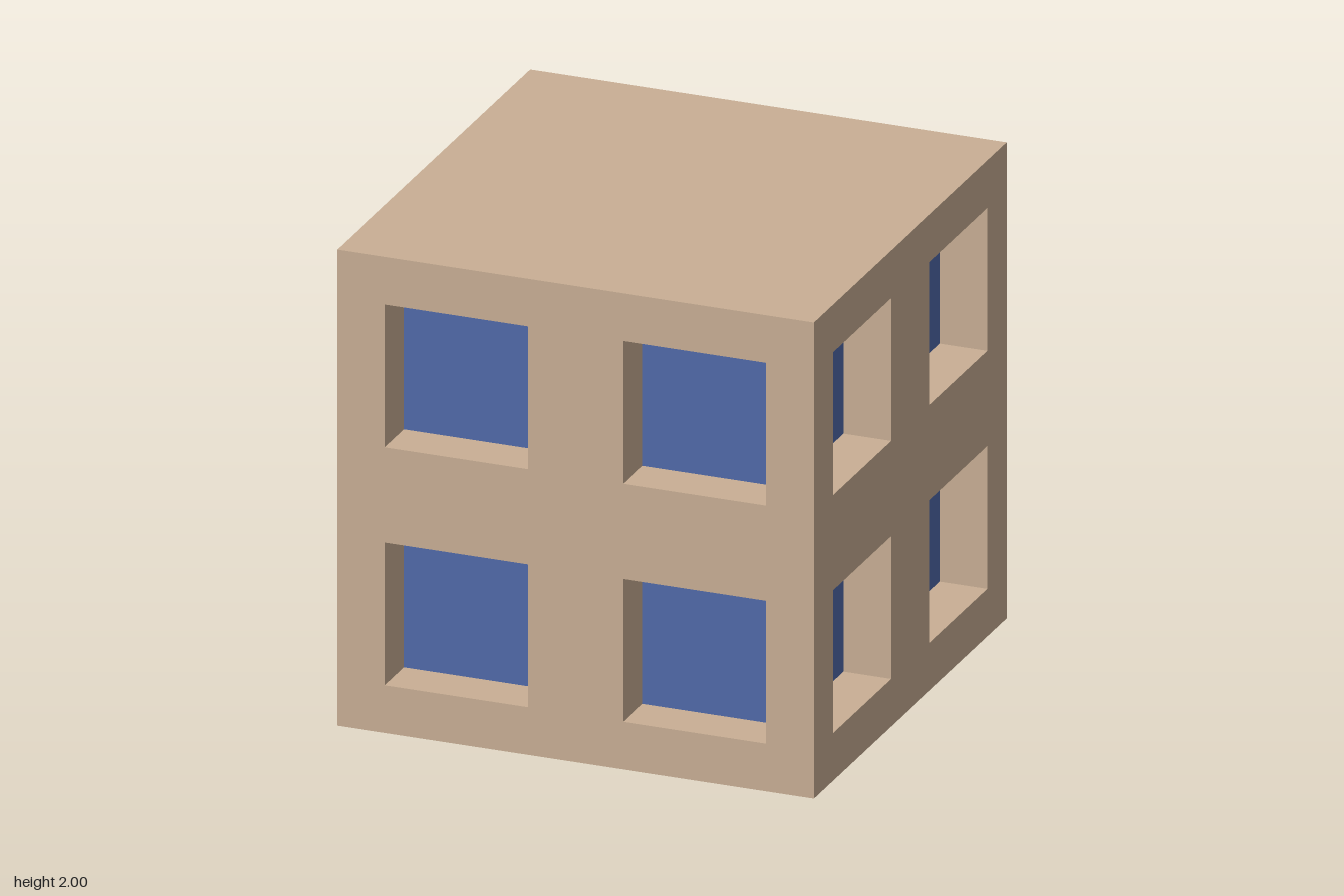
import * as THREE from 'three';

const SIZE = 2, HALF = 1, WINDOW = 0.6, DEPTH = 0.2, OFFSET = 0.5;

export function createModel() {
  const wallMat = new THREE.MeshStandardMaterial({ color: 0xc9af95 });
  wallMat.name = 'tan wall';
  const glassMat = new THREE.MeshStandardMaterial({ color: 0x506aaa });
  glassMat.name = 'blue glass';

  const building = new THREE.Group();
  building.name = 'building';

  const add = (parent, name, geometry, material) => {
    const mesh = new THREE.Mesh(geometry, material);
    mesh.name = name;
    parent.add(mesh);
    return mesh;
  };

  const centres = [];
  for (const x of [-OFFSET, OFFSET])
    for (const y of [-OFFSET, OFFSET]) centres.push([x, y]);

  const square = (path, x, y, r) => path
    .moveTo(x - r, y - r).lineTo(x + r, y - r)
    .lineTo(x + r, y + r).lineTo(x - r, y + r).closePath();

  // Outer wall with four square openings
  const outline = square(new THREE.Shape(), 0, 0, HALF);
  for (const [x, y] of centres) outline.holes.push(square(new THREE.Path(), x, y, WINDOW / 2));
  const wallGeo = new THREE.ShapeGeometry(outline);

  // Window reveal: the four sides of a box, turned to face inward
  const revealGeo = new THREE.BoxGeometry(WINDOW, WINDOW, DEPTH);
  revealGeo.scale(-1, 1, 1);
  revealGeo.clearGroups();
  revealGeo.setIndex(Array.from(revealGeo.index.array).slice(0, 24));
  revealGeo.computeVertexNormals();

  const paneGeo = new THREE.PlaneGeometry(WINDOW, WINDOW);

  // Four identical sides around the vertical axis
  ['front', 'left', 'back', 'right'].forEach((label, i) => {
    const side = new THREE.Group();
    side.name = `${label}Side`;
    side.position.y = HALF;
    side.rotation.y = i * Math.PI / 2;
    add(side, 'wall', wallGeo, wallMat).position.z = HALF;
    for (const [x, y] of centres) {
      add(side, 'windowReveal', revealGeo, wallMat).position.set(x, y, HALF - DEPTH / 2);
      add(side, 'windowPane', paneGeo, glassMat).position.set(x, y, HALF - DEPTH);
    }
    building.add(side);
  });

  // Flat roof and underside
  const slabGeo = new THREE.PlaneGeometry(SIZE, SIZE);
  const roof = add(building, 'roof', slabGeo, wallMat);
  roof.position.y = SIZE;
  roof.rotation.x = -Math.PI / 2;
  add(building, 'underside', slabGeo, wallMat).rotation.x = Math.PI / 2;

  return building;
}
